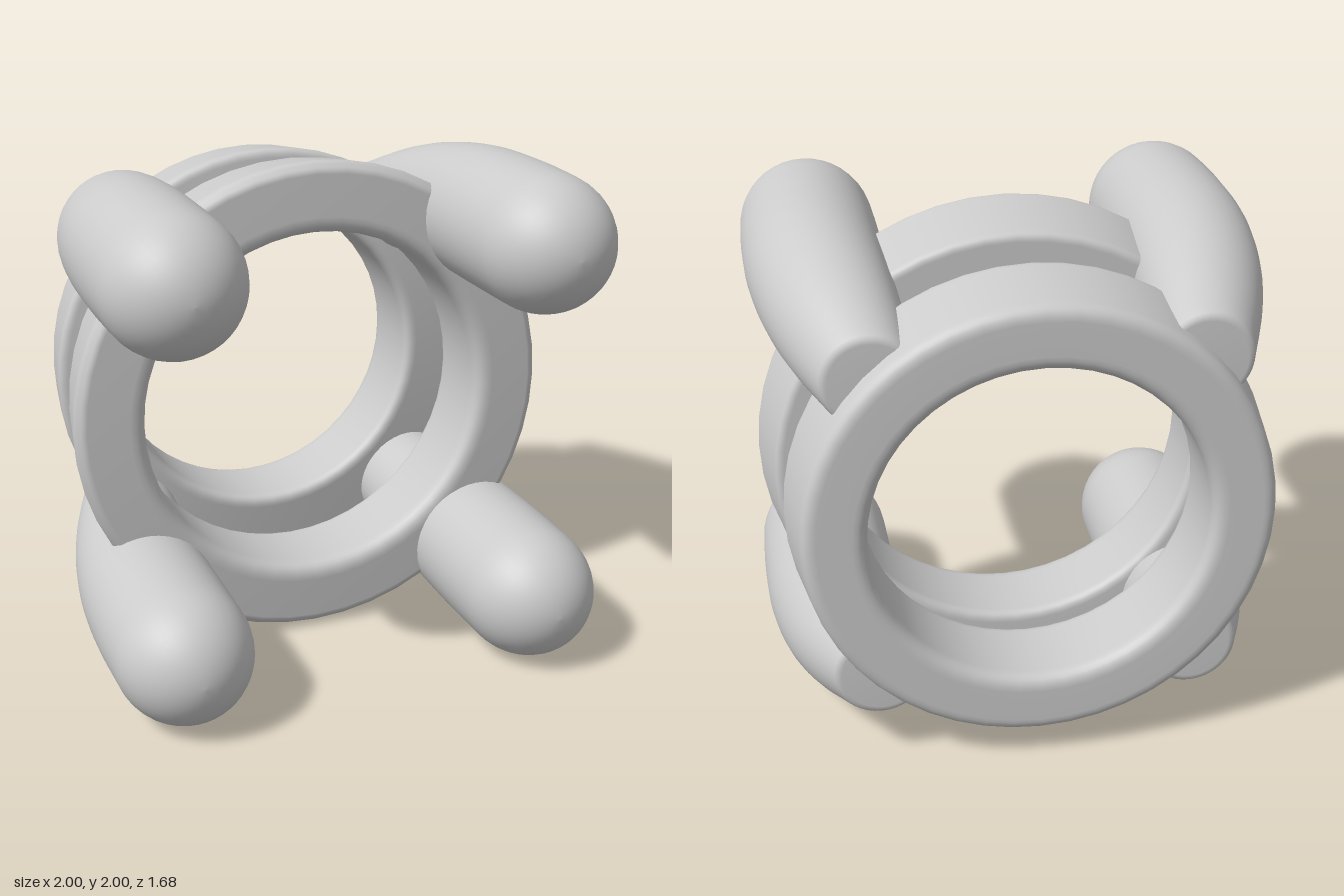
import * as THREE from 'three';
import { mergeVertices } from 'three/addons/utils/BufferGeometryUtils.js';

const material = new THREE.MeshStandardMaterial({ color: 0xcccccc });

// Ring around the z axis, from a (radius, z) cross-section with rounded corners
function ringGeometry(corners, rounding) {
  const pts = [];
  const n = corners.length;
  const start = new THREE.Vector2().lerpVectors(corners[n - 1], corners[0], 0.5);
  pts.push(start);
  corners.forEach((c, i) => {
    const toPrev = corners[(i + n - 1) % n].clone().sub(c).setLength(rounding[i]);
    const toNext = corners[(i + 1) % n].clone().sub(c).setLength(rounding[i]);
    const bend = new THREE.QuadraticBezierCurve(c.clone().add(toPrev), c, c.clone().add(toNext));
    pts.push(...bend.getPoints(6));
  });
  pts.push(start.clone());
  return new THREE.LatheGeometry(pts, 48).rotateX(Math.PI / 2);
}

// Tapered leg: round front end, flat rear end, axis bending towards the centre.
// Stations hold the offset from the centre (same in x and y), radius and z.
function legGeometry() {
  const path = new THREE.CatmullRomCurve3([
    [0.603, 0.175, -0.745], [0.655, 0.222, -0.5], [0.692, 0.25, -0.28],
    [0.72, 0.267, 0], [0.727, 0.273, 0.3], [0.727, 0.27, 0.54],
  ].map((p) => new THREE.Vector3(...p)));
  const stations = [
    new THREE.Vector3(0.6, 0.0001, -0.76),
    new THREE.Vector3(0.6, 0.15, -0.76),
    new THREE.Vector3(0.601, 0.167, -0.756),
    ...path.getPoints(24),
  ];
  for (let i = 1; i <= 12; i++) {
    const a = (i / 12) * Math.PI / 2;
    stations.push(new THREE.Vector3(0.727, Math.max(0.27 * Math.cos(a), 0.0001), 0.54 + 0.295 * Math.sin(a)));
  }
  let geo = new THREE.LatheGeometry(stations.map((s) => new THREE.Vector2(s.y, s.z)), 40);
  geo.rotateX(Math.PI / 2);
  const pos = geo.attributes.position;
  for (let i = 0; i < pos.count; i++) {
    const offset = stations[i % stations.length].x;
    pos.setX(i, pos.getX(i) + offset);
    pos.setY(i, pos.getY(i) + offset);
  }
  geo.deleteAttribute('normal');
  geo.deleteAttribute('uv');
  geo = mergeVertices(geo, 1e-5);
  geo.computeVertexNormals();
  return geo;
}

export function createModel() {
  const model = new THREE.Group();
  model.name = 'ringFrame';
  const add = (name, geo) => {
    const mesh = new THREE.Mesh(geo, material);
    mesh.name = name;
    mesh.position.y = 1;
    model.add(mesh);
    return mesh;
  };
  const v = (r, z) => new THREE.Vector2(r, z);

  // Two parallel rings, both narrowing to the rear
  add('frontRing', ringGeometry(
    [v(0.708, -0.275), v(0.935, -0.275), v(0.992, 0.04), v(0.96, 0.075), v(0.708, 0.09)],
    [0.04, 0.03, 0.02, 0.015, 0.07]));
  add('rearRing', ringGeometry(
    [v(0.635, -0.843), v(0.872, -0.843), v(0.925, -0.505), v(0.635, -0.468)],
    [0.06, 0.05, 0.04, 0.05]));

  // Four legs running front to back at the diagonals
  const leg = legGeometry();
  ['upperLeftLeg', 'upperRightLeg', 'lowerRightLeg', 'lowerLeftLeg'].forEach((name, i) => {
    add(name, leg).rotation.z = i * Math.PI / 2;
  });
  return model;
}
